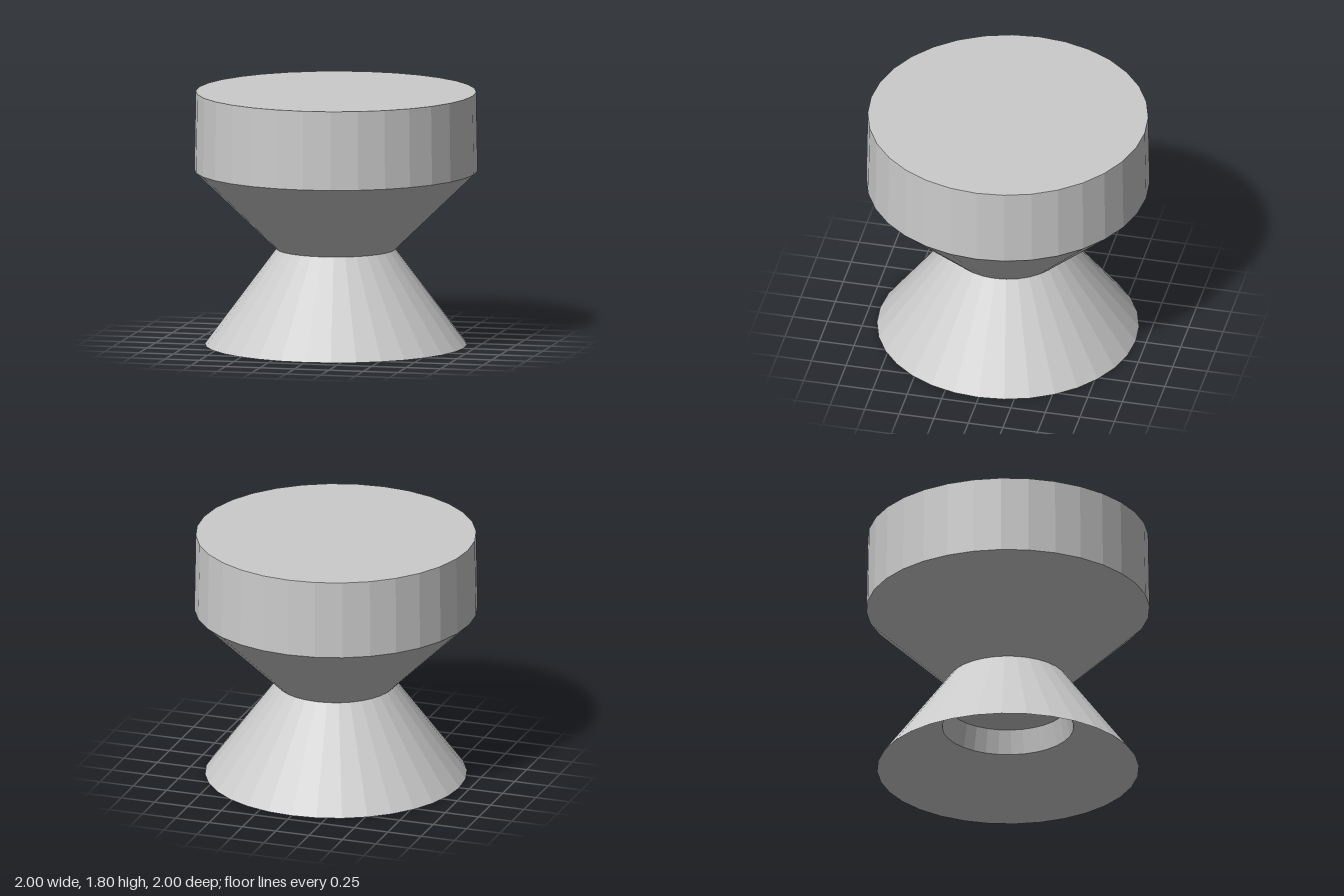
import * as THREE from 'three';

const SIDES = 32;
const material = new THREE.MeshStandardMaterial({ color: 0xcccccc, flatShading: true });

// Faceted surface of revolution; profiles are [radius, height], outer walls run upward.
function turned(name, profile) {
  const points = profile.map(([r, y]) => new THREE.Vector2(r, y));
  const mesh = new THREE.Mesh(new THREE.LatheGeometry(points, SIDES), material);
  mesh.name = name;
  return mesh;
}

export function createModel() {
  const group = new THREE.Group();
  group.name = 'pedestal';

  // Hollow underside: ceiling, short collar, then flare down to the sharp rim
  group.add(turned('hollow', [[0, 0.5], [0.43, 0.5], [0.464, 0.324], [0.925, 0]]));

  // Flared foot from the floor to the waist
  group.add(turned('foot', [[0.925, 0], [0.42, 0.68]]));

  // Cone widening from the waist up to the drum
  group.add(turned('upperCone', [[0.42, 0.68], [1, 1.24]]));

  // Slightly tapered drum with a flat top
  group.add(turned('drum', [[1, 1.24], [0.99, 1.8], [0, 1.8]]));

  return group;
}
